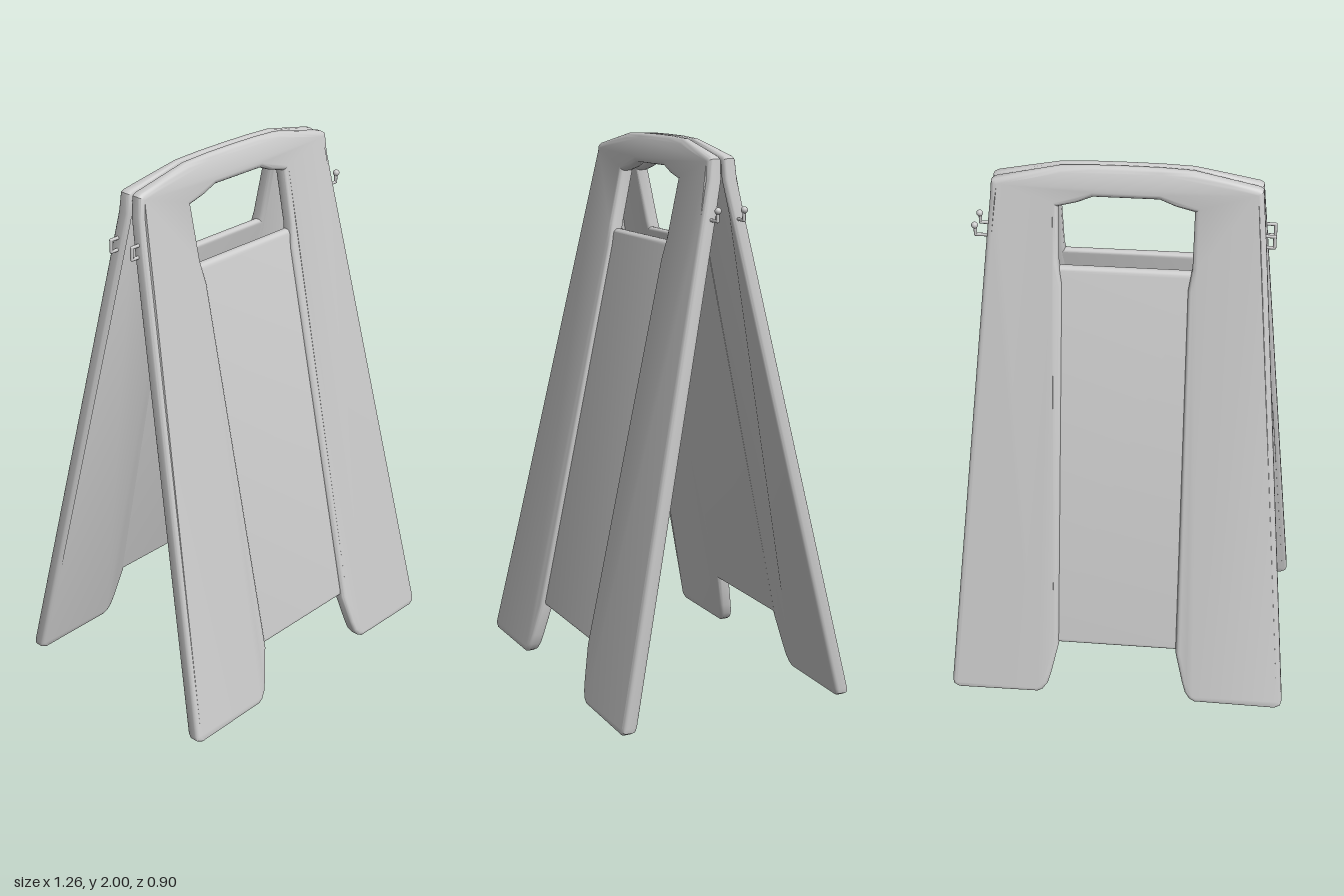
import * as THREE from 'three';
import { toCreasedNormals } from 'three/addons/utils/BufferGeometryUtils.js';

const material = new THREE.MeshStandardMaterial({ color: 0xcccccc });
const BEVEL = 0.018;

// distance of a board's inner face from the centre plane at height y
const innerZ = (y) => Math.max(0.003, 0.4 - 0.2133 * y);

// closed outline, symmetric about x = 0, from the points of its +x half
function mirroredShape(half) {
  const other = half.filter(([x]) => x > 0).reverse().map(([x, y]) => [-x, y]);
  return new THREE.Shape([...half, ...other].map(([x, y]) => new THREE.Vector2(x, y)));
}

// rounded slab, leaned against the centre plane; side = 1 front, -1 back
function leaningSlab(name, shape, thickness, inset, side) {
  const bevelThickness = 0.015;
  const extruded = new THREE.ExtrudeGeometry(shape, {
    depth: thickness - 2 * bevelThickness, steps: 1, bevelEnabled: true,
    bevelThickness, bevelSize: BEVEL, bevelOffset: -BEVEL, bevelSegments: 4,
  });
  const geo = extruded.index ? extruded.toNonIndexed() : extruded;
  const p = geo.attributes.position;
  for (let i = 0; i < p.count; i++) {
    const y = p.getY(i);
    // the crest is drawn in towards the centre plane
    const t = THREE.MathUtils.clamp((y - 1.88) / 0.12, 0, 1);
    const local = (p.getZ(i) + bevelThickness) * (1 - 0.5 * t * t) + inset;
    p.setZ(i, side * (innerZ(y) + local));
  }
  // a mirrored slab needs its corners in the opposite order
  if (side < 0) {
    const a = new THREE.Vector3(), b = new THREE.Vector3();
    for (let i = 0; i < p.count; i += 3) {
      a.fromBufferAttribute(p, i + 1);
      b.fromBufferAttribute(p, i + 2);
      p.setXYZ(i + 1, b.x, b.y, b.z);
      p.setXYZ(i + 2, a.x, a.y, a.z);
    }
  }
  geo.deleteAttribute('uv');
  geo.deleteAttribute('normal');
  const mesh = new THREE.Mesh(toCreasedNormals(geo, 0.6), material);
  mesh.name = name;
  return mesh;
}

// wire bent through a list of points, with round joints
function wire(name, points, radius) {
  const group = new THREE.Group();
  group.name = name;
  const pts = points.map((q) => new THREE.Vector3(...q));
  pts.forEach((q, i) => {
    const joint = new THREE.Mesh(new THREE.SphereGeometry(radius, 12, 8), material);
    joint.position.copy(q);
    joint.name = 'wireJoint';
    group.add(joint);
    if (i === 0) return;
    const dir = q.clone().sub(pts[i - 1]);
    const rod = new THREE.Mesh(
      new THREE.CylinderGeometry(radius, radius, dir.length(), 12), material);
    rod.position.copy(q).add(pts[i - 1]).multiplyScalar(0.5);
    rod.quaternion.setFromUnitVectors(new THREE.Vector3(0, 1, 0), dir.normalize());
    rod.name = 'wireRod';
    group.add(rod);
  });
  return group;
}

function createBoard(side) {
  const board = new THREE.Group();
  board.name = side > 0 ? 'frontBoard' : 'backBoard';

  // two legs joined by the carrying handle
  const frame = mirroredShape([
    [0, 2], [0.12, 1.999], [0.23, 1.994], [0.35, 1.969], [0.455, 1.947], [0.469, 1.938],
    [0.475, 1.87], [0.486, 1.75], [0.63, 0.03], [0.626, 0.012], [0.605, 0],
    [0.3, 0.003], [0.28, 0.014], [0.262, 0.04], [0.25, 0.08], [0.222, 0.2],
    [0.222, 1.58], [0.235, 1.66], [0.237, 1.855], [0.17, 1.872], [0.115, 1.895], [0, 1.895],
  ]);
  board.add(leaningSlab('legsAndHandle', frame, 0.054, 0, side));

  // recessed panel between the legs, below the hand opening
  const panel = mirroredShape([[0.258, 1.64], [0.258, 0.205]]);
  board.add(leaningSlab('recessedPanel', panel, 0.038, 0.001, side));

  // hook with a ball tip on one edge, square eye on the other
  const z = side * 0.05;
  board.add(wire('hook', [
    [0.46, 1.735, side * 0.058], [0.495, 1.735, z], [0.53, 1.735, z], [0.53, 1.77, z],
  ], 0.006));
  const tip = new THREE.Mesh(new THREE.SphereGeometry(0.012, 16, 12), material);
  tip.position.set(0.532, 1.77, z);
  tip.name = 'hookTip';
  board.add(tip);
  board.add(wire('eye', [
    [-0.46, 1.777, z], [-0.514, 1.777, z], [-0.514, 1.735, z], [-0.485, 1.735, z],
  ], 0.006));
  return board;
}

export function createModel() {
  const model = new THREE.Group();
  model.name = 'foldingFloorSign';
  for (const side of [1, -1]) model.add(createBoard(side));
  return model;
}
